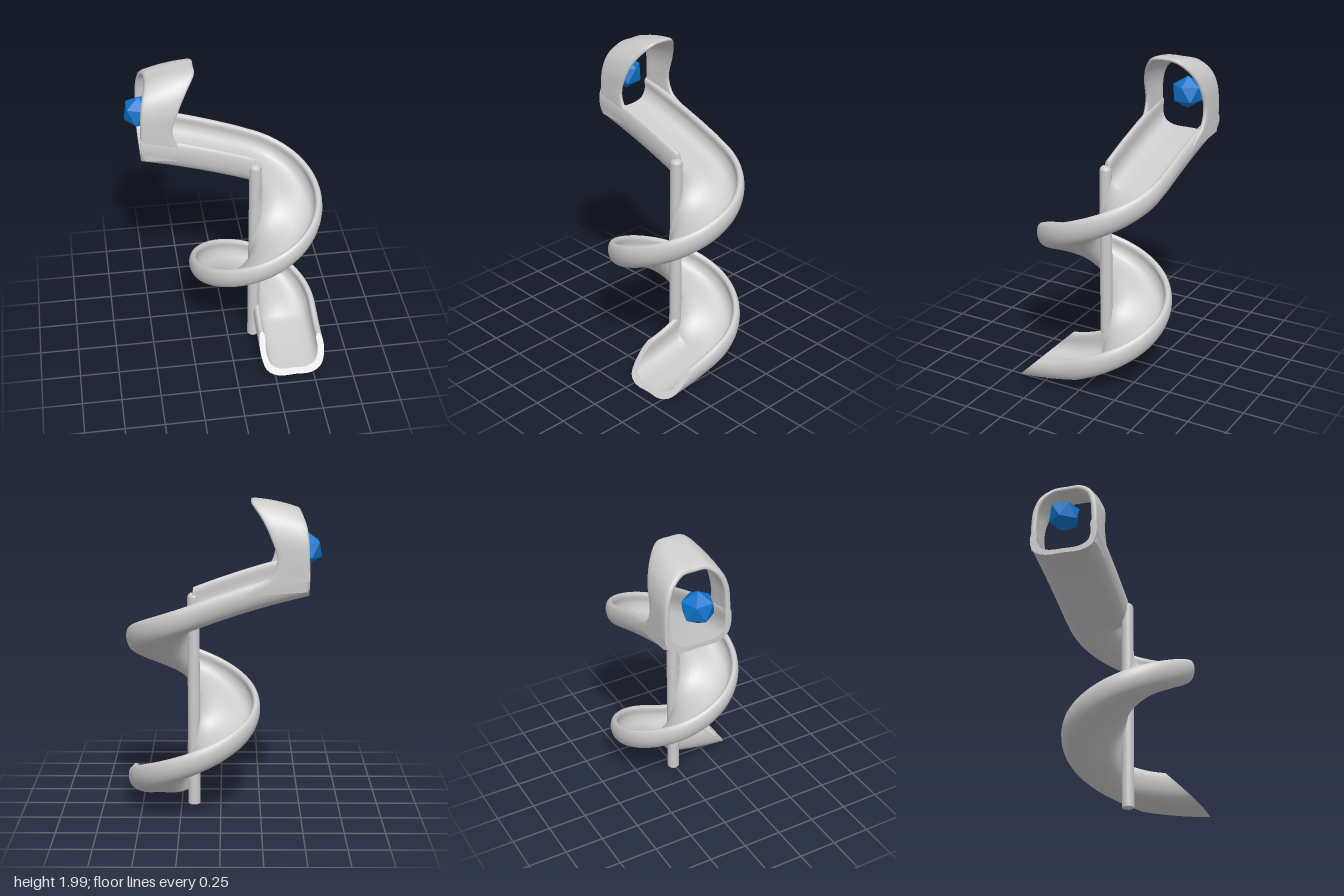
import * as THREE from 'three';

const V2 = (p) => new THREE.Vector2(p[0], p[1]);
const V3 = (p) => new THREE.Vector3(p[0], p[1], p[2]);
const lerp = THREE.MathUtils.lerp;

// Joins closed rings of points into a smooth skin; capShape closes both ends.
function loft(rings, capShape) {
  const n = rings[0].length, pos = [], idx = [];
  rings.forEach((r) => r.forEach((p) => pos.push(p.x, p.y, p.z)));
  for (let i = 0; i < rings.length - 1; i++) {
    for (let j = 0; j < n; j++) {
      const a = i * n + j, b = i * n + (j + 1) % n;
      idx.push(a, b, a + n, b, b + n, a + n);
    }
  }
  if (capShape) {
    const faces = THREE.ShapeUtils.triangulateShape(capShape, []);
    [rings[0], rings[rings.length - 1]].forEach((r, end) => {
      const base = pos.length / 3;
      r.forEach((p) => pos.push(p.x, p.y, p.z));
      faces.forEach(([a, b, c]) => (end
        ? idx.push(base + a, base + b, base + c)
        : idx.push(base + a, base + c, base + b)));
    });
  }
  const g = new THREE.BufferGeometry();
  g.setAttribute('position', new THREE.Float32BufferAttribute(pos, 3));
  g.setIndex(idx);
  g.computeVertexNormals();
  return g;
}

const POLE_X = 0.17;

// U-shaped chute: (outward from the pole, up), counter-clockwise
function chuteSection() {
  const pts = [
    [0.003, 0.19], [0, 0.1], [0.028, 0.03], [0.1, 0], [0.21, 0], [0.32, 0.002],
    [0.39, 0.035], [0.417, 0.1], [0.41, 0.16], [0.39, 0.178], [0.372, 0.16],
    [0.376, 0.11], [0.35, 0.055], [0.29, 0.032], [0.21, 0.03], [0.11, 0.032],
    [0.055, 0.06], [0.036, 0.11], [0.037, 0.19], [0.02, 0.207],
  ];
  const curve = new THREE.CatmullRomCurve3(pts.map(([u, v]) => V3([u, v, 0])), true);
  return curve.getPoints(60).slice(0, 60).map((p) => new THREE.Vector2(p.x, p.y));
}

function chuteGeometry() {
  const section = chuteSection(), rings = [];
  // One station: origin on the inner edge, outward direction, floor height
  const station = (x, z, nx, nz, y, widen = 1, slant = 0) => rings.push(section.map((p) =>
    new THREE.Vector3(x + nx * p.x * widen, y + p.y, z + nz * p.x * widen - slant * p.y)));

  // straight run from the entry
  for (let i = 0; i < 14; i++) {
    const t = i / 14;
    station(lerp(-0.52, POLE_X, t), 0, 0, -1, 1.435 - 0.16 * t - 0.055 * t * t, lerp(1.03, 1.01, t));
  }
  // five quarter turns around the pole
  for (let i = 0; i <= 90; i++) {
    const q = (i / 90) * 5, a = (q - 1) * Math.PI / 2;
    station(POLE_X, 0, Math.cos(a), Math.sin(a), 1.22 - 0.228 * q);
  }
  // run-out with a slanted lip
  for (let i = 1; i <= 12; i++) {
    const t = i / 12;
    station(POLE_X, 0.43 * t, 1, 0, 0.08 - 0.07 * (1.5 * t - 0.5 * t * t), 1, t);
  }
  return loft(rings, section);
}

// Arched hood over the entry, skinned between its back and front edges
function hoodGeometry() {
  // half width, back x, back y, front x, front y
  const half = [
    [0.212, -0.515, 1.48, -0.1, 1.45], [0.214, -0.522, 1.53, -0.2, 1.505],
    [0.214, -0.522, 1.58, -0.29, 1.56], [0.213, -0.52, 1.67, -0.33, 1.66],
    [0.203, -0.515, 1.78, -0.29, 1.8], [0.165, -0.502, 1.87, -0.24, 1.905],
    [0.085, -0.48, 1.93, -0.182, 1.99],
  ];
  const all = [...half, [0, -0.475, 1.935, -0.18, 2],
    ...half.slice().reverse().map(([w, ...rest]) => [-w, ...rest])];
  const cz = -0.215;
  const back = new THREE.CatmullRomCurve3(all.map((p) => V3([p[1], p[2], cz + p[0]])));
  const front = new THREE.CatmullRomCurve3(all.map((p) => V3([p[3], p[4], cz + p[0]])));
  const steps = 84, rings = [];
  for (let i = 0; i <= steps; i++) {
    const s = i / steps;
    const b = back.getPoint(s), f = front.getPoint(s), tan = back.getTangent(s);
    const inward = new THREE.Vector3(0, tan.z, -tan.y).normalize();
    const at = (t, depth) => b.clone().lerp(f, t)
      .addScaledVector(inward, depth - 0.012 * Math.sin(Math.PI * t) * Math.sin(Math.PI * s) ** 4);
    const ring = [], spans = [0.02, 0.06, 0.2, 0.4, 0.6, 0.8, 0.95, 0.99];
    spans.forEach((t, k) => ring.push(at(t, k === 0 || k === 7 ? 0.006 : 0)));
    ring.push(at(1, 0.013));
    spans.slice().reverse().forEach((t, k) => ring.push(at(t, lerp(0.036, 0.026, t) - (k === 0 || k === 7 ? 0.006 : 0))));
    ring.push(at(0, 0.018));
    rings.push(ring);
  }
  return loft(rings, null);
}

export function createModel() {
  const group = new THREE.Group();
  const grey = new THREE.MeshStandardMaterial({ color: 0xcccccc });
  const add = (name, geometry, material = grey) => {
    const mesh = new THREE.Mesh(geometry, material);
    mesh.name = name;
    group.add(mesh);
    return mesh;
  };

  add('spiralChute', chuteGeometry());
  add('entryHood', hoodGeometry());

  // centre pole with a rounded top
  const profile = [[0, 0.01], [0.034, 0.01], [0.038, 0.016], [0.038, 1.36],
    [0.034, 1.375], [0.022, 1.386], [0, 1.39]].map(V2);
  add('centrePole', new THREE.LatheGeometry(profile, 32)).position.set(POLE_X, 0, -0.006);

  // faceted ball at the entry, one corner pointing up
  const ball = new THREE.IcosahedronGeometry(0.105, 0);
  ball.rotateX(-Math.atan((1 + Math.sqrt(5)) / 2)).rotateY(Math.PI / 2);
  add('entryBall', ball, new THREE.MeshStandardMaterial({ color: 0x0f74cc, flatShading: true }))
    .position.set(-0.508, 1.7, -0.213);

  return group;
}
